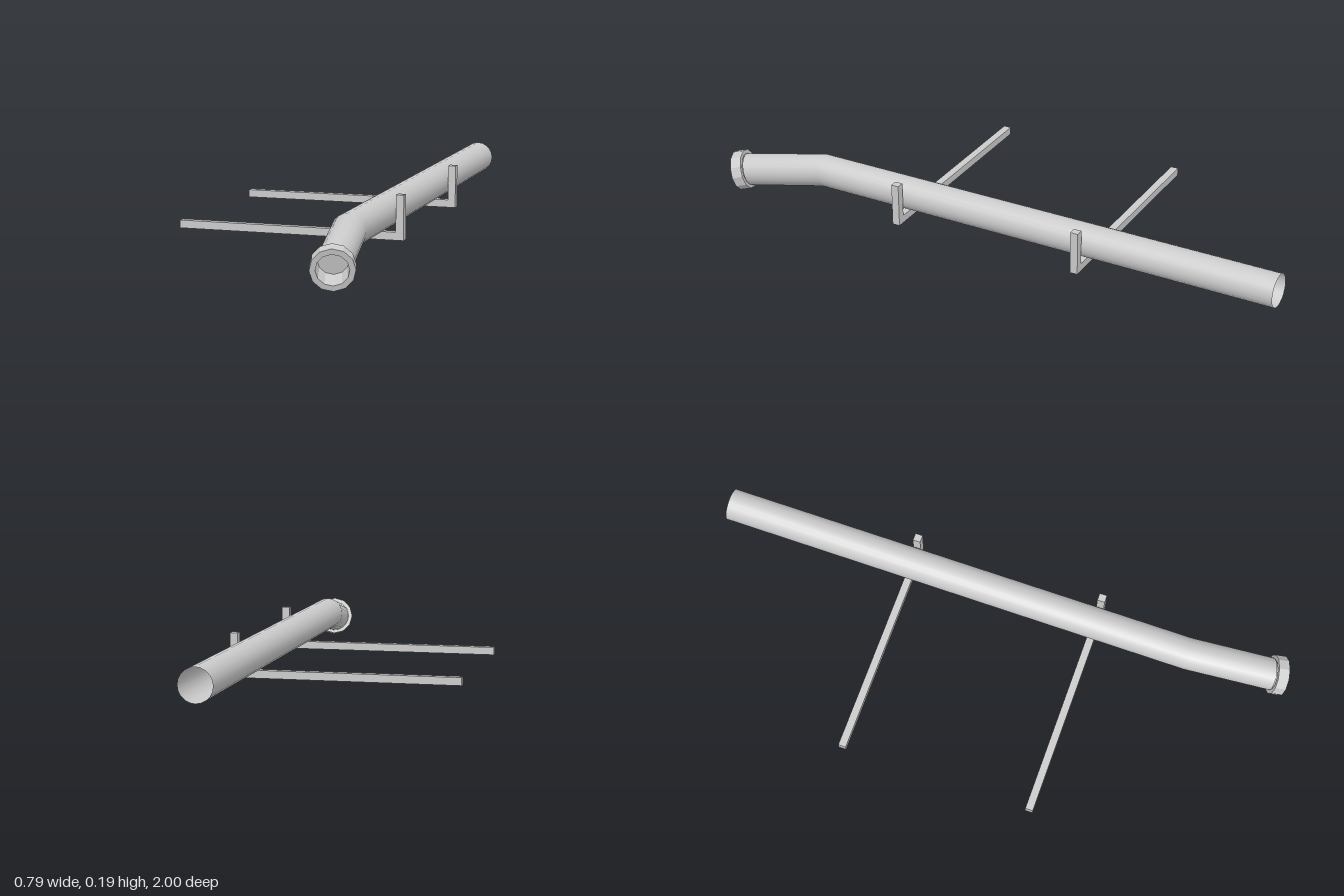
import * as THREE from 'three';

const smooth = new THREE.MeshStandardMaterial({ color: 0xcccccc, side: THREE.DoubleSide });
const flat = new THREE.MeshStandardMaterial({ color: 0xcccccc, flatShading: true, side: THREE.DoubleSide });

function add(parent, name, geometry, material) {
  const mesh = new THREE.Mesh(geometry, material);
  mesh.name = name;
  parent.add(mesh);
  return mesh;
}

// open tube whose rings sit at the given centres and face the given directions
function pipeGeometry(radius, sides, rings) {
  const geo = new THREE.CylinderGeometry(radius, radius, 1, sides, rings.length - 1, true);
  const pos = geo.attributes.position;
  const zAxis = new THREE.Vector3(0, 0, 1);
  const p = new THREE.Vector3();
  const q = new THREE.Quaternion();
  for (let i = 0; i < pos.count; i++) {
    const ring = rings[rings.length - 1 - Math.floor(i / (sides + 1))];
    q.setFromUnitVectors(zAxis, ring.dir.clone().normalize());
    p.set(pos.getX(i), -pos.getZ(i), 0).applyQuaternion(q).add(ring.at);
    pos.setXYZ(i, p.x, p.y, p.z);
  }
  geo.computeVertexNormals();
  // share the normals across the seam
  const n = geo.attributes.normal;
  for (let r = 0; r < rings.length; r++) {
    const a = r * (sides + 1), b = a + sides;
    const v = new THREE.Vector3().fromBufferAttribute(n, a).add(new THREE.Vector3().fromBufferAttribute(n, b)).normalize();
    n.setXYZ(a, v.x, v.y, v.z);
    n.setXYZ(b, v.x, v.y, v.z);
  }
  return geo;
}

export function createModel() {
  const group = new THREE.Group();
  const V = (x, y, z) => new THREE.Vector3(x, y, z);
  const mouthDir = V(0.27, -0.25, 0.93).normalize();

  // long straight pipe with a slightly bent end
  add(group, 'pipe', pipeGeometry(0.055, 20, [
    { at: V(0.277, 0.125, -1), dir: V(0, 0, 1) },
    { at: V(0.277, 0.125, 0.65), dir: V(0.08, -0.08, 1) },
    { at: V(0.32, 0.077, 0.935), dir: mouthDir },
  ]), smooth);

  // flanged mouth: collar with a recessed end plate
  const mouth = new THREE.Group();
  mouth.name = 'mouth';
  mouth.position.set(0.329, 0.068, 0.974);
  mouth.quaternion.setFromUnitVectors(V(0, 0, 1), mouthDir);
  group.add(mouth);
  const profile = [[0.047, -0.07], [0.05, 0], [0.068, 0], [0.068, -0.038], [0.054, -0.038]];
  const collar = new THREE.LatheGeometry(profile.map(([r, y]) => new THREE.Vector2(r, y)), 12);
  add(mouth, 'collar', collar.rotateX(Math.PI / 2), flat);
  add(mouth, 'endPlate', new THREE.CircleGeometry(0.047, 12), flat).position.z = -0.07;

  // L-shaped support brackets
  for (const z of [0.32, -0.34]) {
    const bracket = new THREE.Group();
    bracket.name = 'bracket';
    bracket.position.z = z;
    add(bracket, 'arm', new THREE.BoxGeometry(0.76, 0.026, 0.026), flat).position.set(-0.02, 0.055, 0);
    add(bracket, 'upright', new THREE.BoxGeometry(0.026, 0.12, 0.026), flat).position.set(0.347, 0.128, 0);
    group.add(bracket);
  }
  return group;
}
